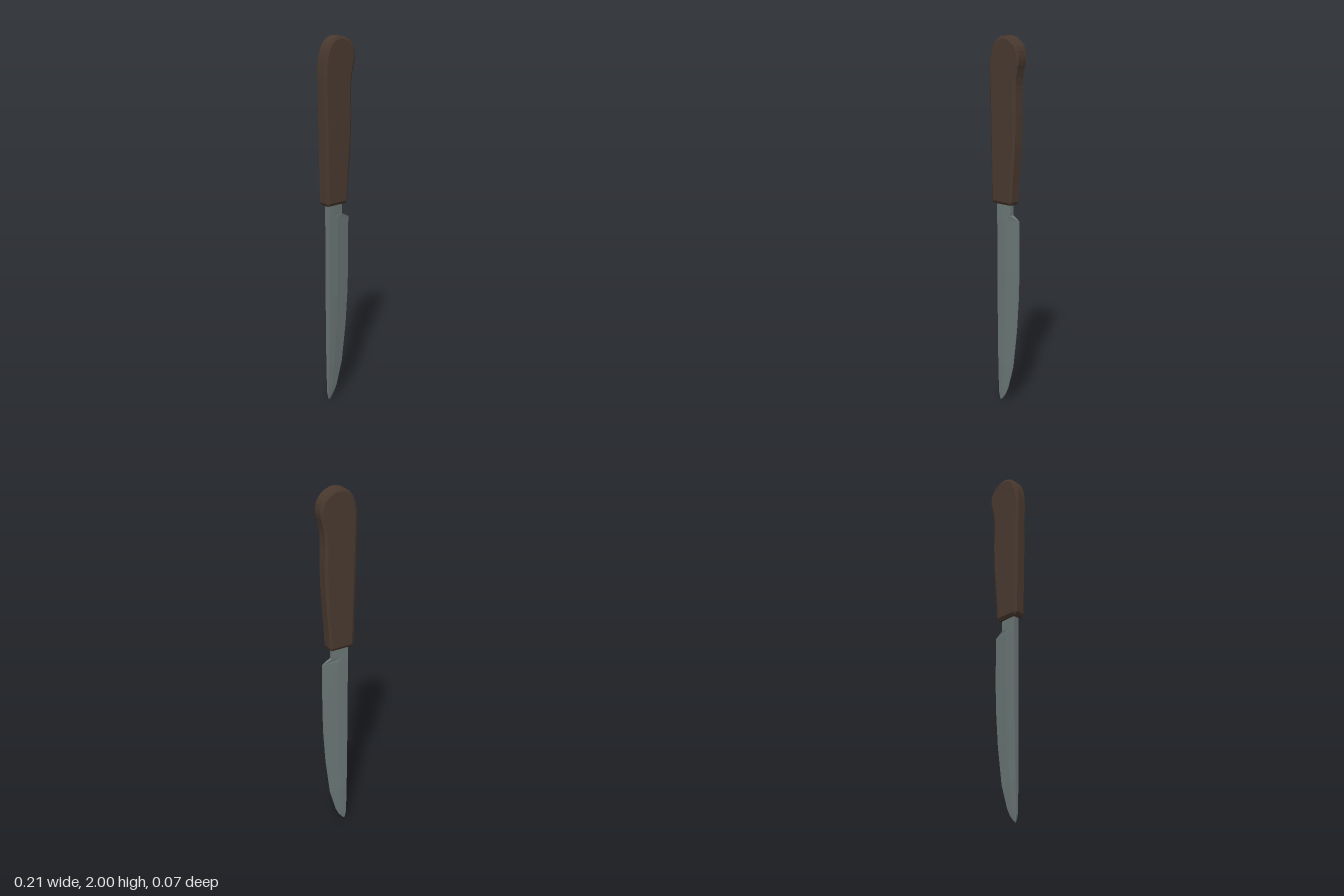
import * as THREE from 'three';

const wood = new THREE.MeshStandardMaterial({ color: 0x49392f });
wood.name = 'dark brown wood';
const steel = new THREE.MeshStandardMaterial({ color: 0x6a7674 });
steel.name = 'grey steel';

// Handle: side outline extruded across z, with a single chamfer on both faces
function buildHandle() {
  const s = new THREE.Shape();
  s.moveTo(-0.082, 1.118);
  s.lineTo(0.045, 1.118);
  s.lineTo(0.055, 1.135);
  s.lineTo(0.06, 1.22);
  s.lineTo(0.078, 1.44);
  s.lineTo(0.083, 1.6);
  s.bezierCurveTo(0.079, 1.71, 0.076, 1.76, 0.094, 1.83);
  s.bezierCurveTo(0.108, 1.87, 0.114, 1.91, 0.092, 1.95);
  s.bezierCurveTo(0.065, 1.985, 0.03, 2, 0, 2);
  s.bezierCurveTo(-0.04, 2, -0.07, 1.975, -0.085, 1.94);
  s.bezierCurveTo(-0.103, 1.9, -0.107, 1.87, -0.107, 1.8);
  s.lineTo(-0.1, 1.5);
  s.lineTo(-0.091, 1.135);
  s.closePath();
  const bevel = 0.009;
  const g = new THREE.ExtrudeGeometry(s, {
    depth: 0.052, curveSegments: 5, bevelEnabled: true,
    bevelThickness: bevel, bevelSize: 0.015, bevelOffset: -0.015, bevelSegments: 1,
  });
  g.translate(0, 0, -0.026);
  const mesh = new THREE.Mesh(g, wood);
  mesh.name = 'handle';
  return mesh;
}

// Blade: wedge sections lofted from the tang down to the tip
function buildBlade() {
  // height, spine x, edge x, half thickness at spine, half thickness at edge
  const rows = [
    [1.15, -0.063, 0.032, 0.017, 0.012],
    [1.06, -0.063, 0.032, 0.017, 0.012],
    [1.034, -0.063, 0.086, 0.017, 0.002],
    [0.75, -0.063, 0.086, 0.016, 0.002],
    [0.6, -0.063, 0.081, 0.0155, 0.002],
    [0.42, -0.063, 0.068, 0.014, 0.002],
    [0.21, -0.063, 0.041, 0.011, 0.002],
    [0.08, -0.063, 0.003, 0.007, 0.002],
    [0.04, -0.063, -0.016, 0.005, 0.0015],
    [0.012, -0.058, -0.038, 0.003, 0.001],
    [0, -0.054, -0.05, 0.0015, 0.001],
  ];
  const rings = rows.map(([y, xs, xe, t, e]) => {
    const xm = xs + (xe - xs) * 0.4;
    return [[xs, t], [xm, t * 0.95], [xe, e], [xe, -e], [xm, -t * 0.95], [xs, -t]]
      .map(([x, z]) => [x, y, z]);
  });
  const pos = [];
  const tri = (a, b, c) => pos.push(...a, ...b, ...c);
  for (let i = 0; i < rings.length - 1; i++) {
    for (let j = 0; j < 6; j++) {
      const k = (j + 1) % 6;
      const [up, low] = [rings[i], rings[i + 1]];
      tri(up[j], low[j], up[k]);
      tri(up[k], low[j], low[k]);
    }
  }
  // end caps
  const top = rings[0], tip = rings[rings.length - 1];
  for (let j = 1; j < 5; j++) {
    tri(top[0], top[j], top[j + 1]);
    tri(tip[0], tip[j + 1], tip[j]);
  }
  const g = new THREE.BufferGeometry();
  g.setAttribute('position', new THREE.Float32BufferAttribute(pos, 3));
  g.computeVertexNormals();
  const mesh = new THREE.Mesh(g, steel);
  mesh.name = 'blade';
  return mesh;
}

export function createModel() {
  const group = new THREE.Group();
  group.name = 'knife';
  group.add(buildHandle(), buildBlade());
  return group;
}
